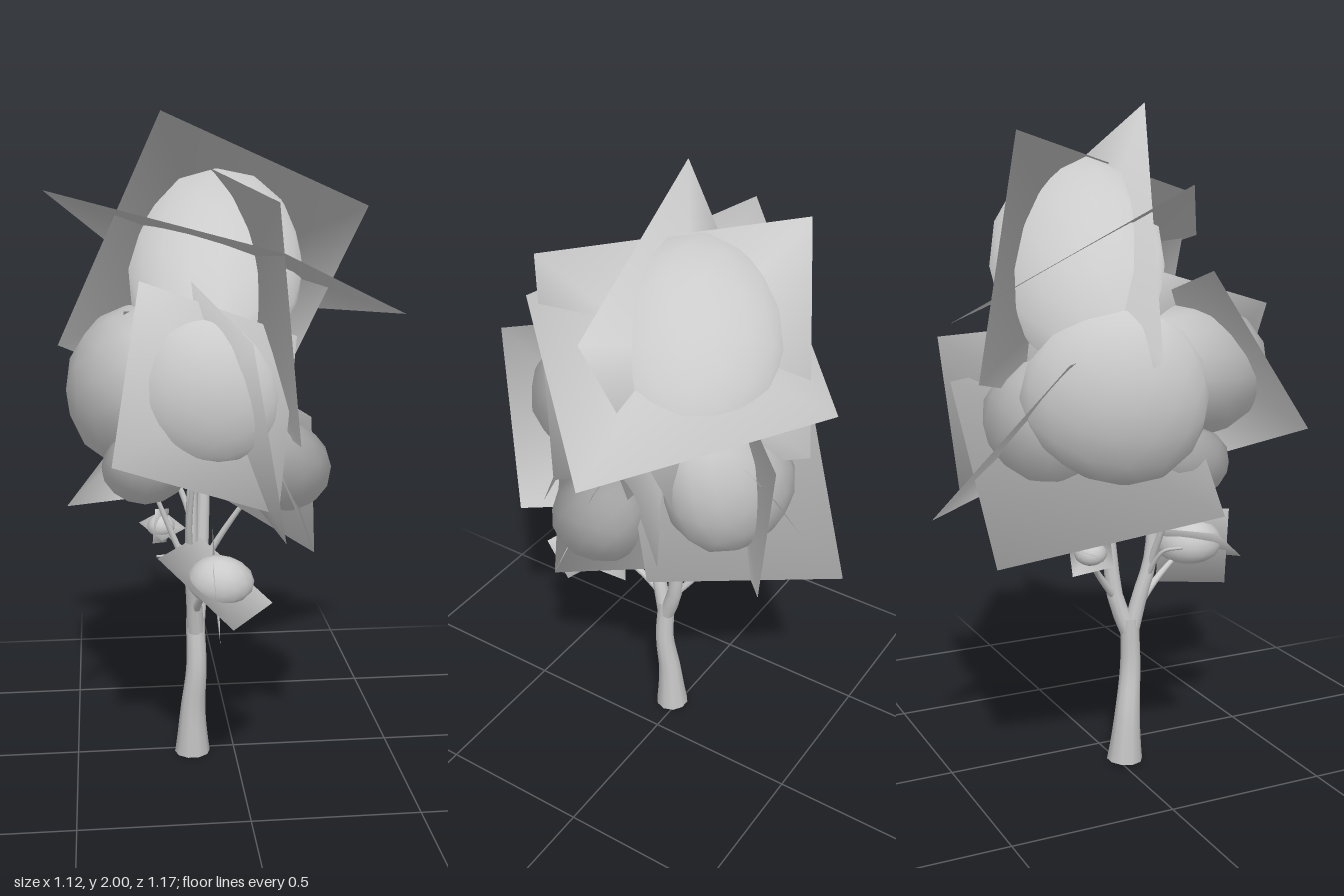
import * as THREE from 'three';
import { mergeVertices } from 'three/addons/utils/BufferGeometryUtils.js';

const wood = new THREE.MeshStandardMaterial({ color: 0xcccccc });
const leaf = new THREE.MeshStandardMaterial({ color: 0xcccccc, side: THREE.DoubleSide });
const V = (p) => new THREE.Vector3(...p);
const crownHeart = [-0.08, 1.2, 0];

function addMesh(group, name, geo, material) {
  const mesh = new THREE.Mesh(geo, material);
  mesh.name = name;
  group.add(mesh);
}

// Tapering limb: a tube whose rings follow a radius rule; returns its curve so others can grow from it
function addLimb(group, name, points, radiusAt) {
  const curve = new THREE.CatmullRomCurve3(points);
  const rings = 14, sides = 10;
  const geo = new THREE.TubeGeometry(curve, rings, 1, sides);
  const pos = geo.attributes.position;
  const v = new THREE.Vector3();
  for (let k = 0; k < pos.count; k++) {
    const t = Math.floor(k / (sides + 1)) / rings;
    const c = curve.getPointAt(t);
    v.fromBufferAttribute(pos, k).sub(c).multiplyScalar(radiusAt(t)).add(c);
    pos.setXYZ(k, v.x, Math.max(0, v.y), v.z);
  }
  addMesh(group, name, geo, wood);
  return curve;
}

// Branch leaving its parent at fraction t, thinning to under half its width
function addBranch(group, name, parent, t, radius, ...path) {
  const points = [parent.getPointAt(t), ...path.map(V)];
  return addLimb(group, name, points, (s) => radius * (1 - 0.58 * s));
}

// Soft foliage shading: normals lean outward from the heart of the foliage
function leanNormals(geo, heart) {
  geo.computeVertexNormals();
  const { position, normal } = geo.attributes;
  const n = new THREE.Vector3(), out = new THREE.Vector3();
  for (let i = 0; i < position.count; i++) {
    out.fromBufferAttribute(position, i).sub(heart).normalize();
    n.fromBufferAttribute(normal, i).multiplyScalar(0.3).addScaledVector(out, 0.7).normalize();
    normal.setXYZ(i, n.x, n.y, n.z);
  }
}

// Lumpy rounded leaf mass
function addClump(group, center, radii, heart) {
  const sphere = new THREE.IcosahedronGeometry(1, 2);
  sphere.deleteAttribute('uv');
  sphere.deleteAttribute('normal');
  const geo = mergeVertices(sphere);
  const pos = geo.attributes.position;
  const phase = 9 * center[0] + 5 * center[1];
  const v = new THREE.Vector3();
  for (let i = 0; i < pos.count; i++) {
    v.fromBufferAttribute(pos, i);
    const bump = Math.sin(2.6 * v.x + phase) * Math.cos(2.3 * v.y - phase) + 0.6 * Math.sin(3 * v.z + 2 * phase);
    v.multiplyScalar(1 + 0.045 * bump).multiply(V(radii)).add(V(center));
    pos.setXYZ(i, v.x, v.y, v.z);
  }
  leanNormals(geo, heart);
  addMesh(group, 'leafMass', geo, leaf);
}

// Leaf card domed away from the heart; the fourth corner completes a parallelogram unless given
function addCard(group, corners, heart) {
  const [a, b, c, d = a.clone().add(c).sub(b)] = corners.map(V);
  const normal = c.clone().sub(a).cross(d.clone().sub(b)).normalize();
  const mid = a.clone().add(b).add(c).add(d).divideScalar(4);
  const outward = normal.dot(mid.clone().sub(heart)) > 0;
  mid.addScaledVector(normal, (outward ? 0.04 : -0.04) * a.distanceTo(b));
  const rim = outward ? [a, b, c, d] : [d, c, b, a];
  const geo = new THREE.BufferGeometry().setFromPoints([...rim, mid]);
  geo.setIndex([0, 1, 4, 1, 2, 4, 2, 3, 4, 3, 0, 4]);
  leanNormals(geo, heart);
  addMesh(group, 'leafCard', geo, leaf);
}

// Leaf mass with the cards that cross it
function addFoliage(tree, name, heart, center, radii, ...cards) {
  const group = new THREE.Group();
  group.name = name;
  addClump(group, center, radii, V(heart));
  cards.forEach((corners) => addCard(group, corners, V(heart)));
  tree.add(group);
}

export function createModel() {
  const tree = new THREE.Group();
  tree.name = 'tree';

  // Flared trunk with a closed foot
  const foot = [-0.135, 0, 0.025];
  const trunkPath = [foot, [-0.133, 0.15, 0.035], [-0.122, 0.3, 0.05], [-0.125, 0.46, 0.045]].map(V);
  const trunk = addLimb(tree, 'trunk', trunkPath, (t) => 0.036 - 0.007 * t + 0.02 * (1 - t) ** 3);
  addMesh(tree, 'trunkFoot', new THREE.CircleGeometry(0.055, 10).rotateX(Math.PI / 2).translate(...foot), wood);

  // Two main forks, then the twigs that grow from them
  const front = addBranch(tree, 'frontFork', trunk, 0.88, 0.027, [-0.13, 0.52, 0.075], [-0.14, 0.66, 0.11], [-0.13, 1.1, 0.11]);
  const back = addBranch(tree, 'backFork', trunk, 0.88, 0.027, [-0.11, 0.52, 0.005], [-0.1, 0.66, -0.01], [-0.07, 1.35, -0.06]);
  addBranch(tree, 'lowFrontBranch', front, 0.12, 0.014, [-0.11, 0.56, 0.14], [-0.07, 0.65, 0.27]);
  addBranch(tree, 'lowBackBranch', back, 0.13, 0.013, [-0.15, 0.63, -0.08], [-0.22, 0.71, -0.14]);
  addBranch(tree, 'leftTwig', back, 0.22, 0.012, [-0.03, 0.74, 0.03], [0.1, 0.95, 0.1]);
  addBranch(tree, 'rightTwig', front, 0.3, 0.012, [-0.2, 0.76, 0.12], [-0.28, 0.97, 0.14]);
  addBranch(tree, 'innerTwig', front, 0.35, 0.012, [-0.15, 0.78, 0.16], [-0.13, 1.05, 0.24]);
  addBranch(tree, 'backTwig', back, 0.25, 0.012, [-0.15, 0.82, -0.06], [-0.28, 1.1, -0.06]);
  addBranch(tree, 'sideTwig', front, 0.25, 0.009, [-0.2, 0.68, 0.12], [-0.25, 0.7, 0.16]);

  // Crown
  addFoliage(tree, 'topFoliage', crownHeart, [-0.05, 1.54, -0.09], [0.27, 0.31, 0.26],
    [[-0.56, 1.775, 0.01], [0.1, 1.615, 0.39], [0.56, 1.385, -0.115], [-0.13, 1.395, -0.52]],
    [[-0.53, 1.31, -0.06], [-0.215, 2, 0.04], [0.415, 1.725, -0.03]],
    [[-0.22, 1.92, -0.35], [0.09, 1.75, 0.36], [0.17, 1.05, 0.27]]);
  addFoliage(tree, 'frontFoliage', crownHeart, [-0.1, 1.21, 0.28], [0.2, 0.21, 0.23],
    [[-0.17, 1.55, 0.03], [-0.01, 1.4, 0.59], [0.1, 0.82, 0.47]],
    [[0.18, 1.35, 0.1], [-0.29, 1.53, 0.23], [-0.38, 1.06, 0.51]]);
  addFoliage(tree, 'backFoliage', crownHeart, [-0.08, 1.07, -0.2], [0.22, 0.2, 0.2],
    [[-0.41, 1.3, -0.28], [-0.13, 0.84, -0.585], [0.24, 0.87, -0.12]],
    [[0.1, 0.85, -0.42], [0.13, 1.33, -0.47], [-0.33, 1.42, 0.02]]);
  addFoliage(tree, 'rightFoliage', crownHeart, [-0.27, 1.18, -0.07], [0.245, 0.25, 0.28],
    [[-0.51, 0.86, 0.15], [-0.29, 0.72, -0.45], [0.08, 1.2, -0.45]]);
  addFoliage(tree, 'leftFoliage', crownHeart, [0.12, 0.96, 0.11], [0.16, 0.15, 0.16],
    [[0.05, 1.1, 0.33], [0.215, 0.725, 0.25], [0.2, 0.9, -0.13]],
    [[0.23, 1.1, 0.08], [0.215, 0.725, 0.25], [-0.12, 0.93, 0.2]]);
  addFoliage(tree, 'lowerRightFoliage', crownHeart, [-0.28, 0.97, 0.14], [0.13, 0.11, 0.14]);

  // Small tufts on the low branches, each shaded about its own middle
  const frontTuft = [-0.07, 0.66, 0.28], backTuft = [-0.22, 0.71, -0.13];
  addFoliage(tree, 'lowFrontTuft', frontTuft, frontTuft, [0.1, 0.07, 0.11],
    [[-0.1, 0.76, 0.41], [-0.08, 0.51, 0.41], [-0.06, 0.54, 0.17]],
    [[0.085, 0.59, 0.3], [-0.05, 0.58, 0.49], [-0.25, 0.73, 0.28]]);
  addFoliage(tree, 'lowBackTuft', backTuft, backTuft, [0.045, 0.035, 0.05],
    [[-0.22, 0.68, -0.06], [-0.14, 0.7, -0.13], [-0.21, 0.74, -0.21]],
    [[-0.24, 0.78, -0.08], [-0.25, 0.67, -0.07], [-0.2, 0.64, -0.18]]);

  return tree;
}
